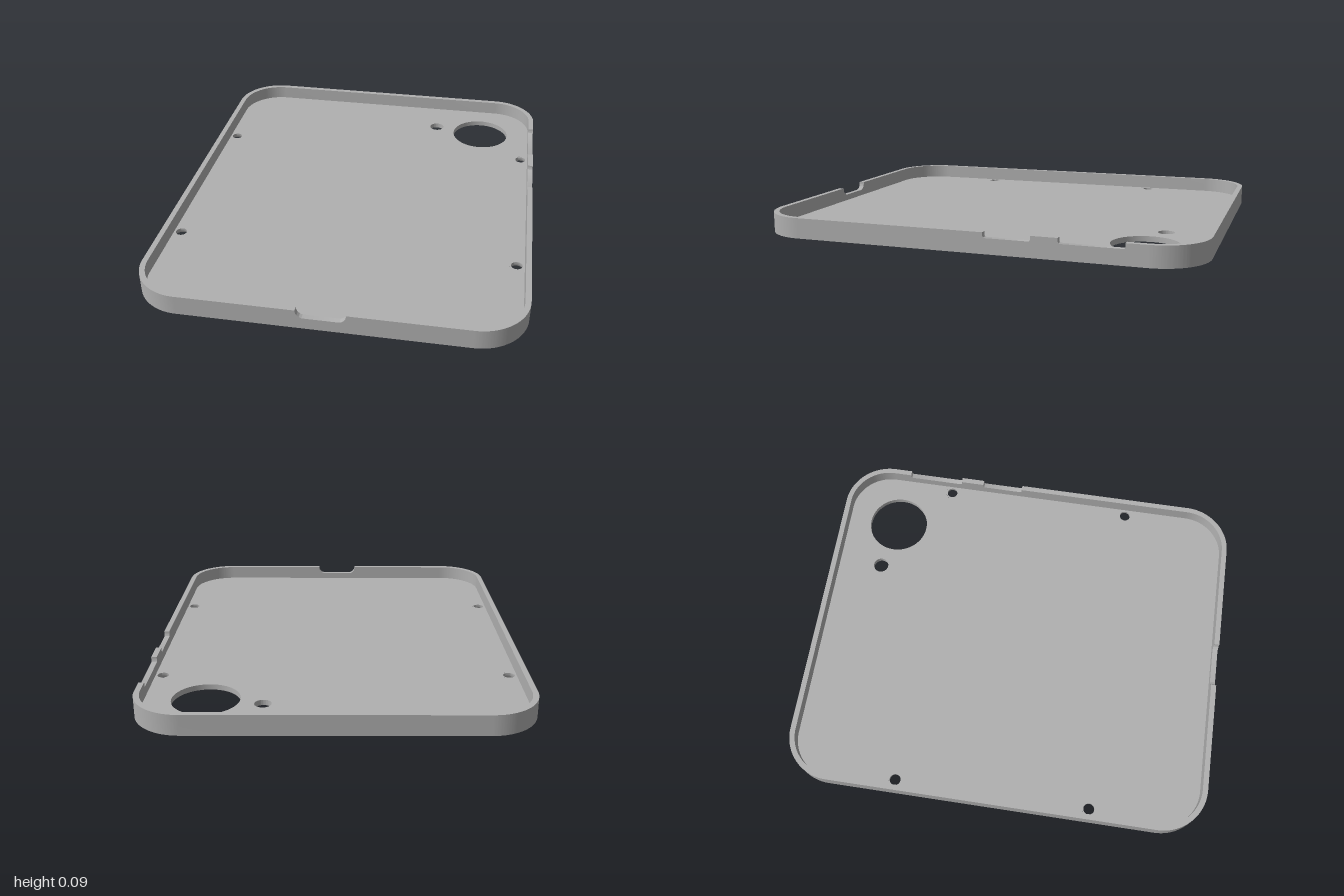
import * as THREE from 'three';
import { toCreasedNormals } from 'three/addons/utils/BufferGeometryUtils.js';

const W = 0.843, L = 1, H = 0.092;        // half width, half length, height
const WALL = 0.025, FLOOR = 0.025, R = 0.22;
const CX = W - R, CZ = L - R;             // corner arc centres
const Q = Math.PI / 2;

export function createModel() {
  const group = new THREE.Group();
  const grey = new THREE.MeshStandardMaterial({ color: 0xb0b0b0 });
  grey.name = 'grey plastic';

  const add = (name, geometry) => {
    const mesh = new THREE.Mesh(toCreasedNormals(geometry, 0.6), grey);
    mesh.name = name;
    group.add(mesh);
    return mesh;
  };
  const extrude = (shape, depth) =>
    new THREE.ExtrudeGeometry(shape, { depth, bevelEnabled: false, curveSegments: 32 });
  // Plan shapes use (x, -z) and are extruded upwards
  const raise = (shape, height) => extrude(shape, height).rotateX(-Q);

  // Floor with camera, flash and screw holes
  const r = R - WALL;
  const floor = new THREE.Shape();
  floor.absarc(CX, -CZ, r, -Q, 0);
  floor.absarc(CX, CZ, r, 0, Q);
  floor.absarc(-CX, CZ, r, Q, 2 * Q);
  floor.absarc(-CX, -CZ, r, 2 * Q, 3 * Q);
  floor.closePath();
  const screws = [];
  for (const x of [-0.783, 0.783]) for (const z of [-0.467, 0.463]) screws.push([x, z]);
  // The countersinks almost touch the wall, so their bores stay inside the floor
  const sink = 0.033, bore = 0.026;
  const holes = [[0.555, -0.715, 0.148], [0.308, -0.76, 0.037], ...screws.map(([x, z]) => [x, z, sink])];
  for (const [x, z, radius] of holes) {
    const hole = new THREE.Path();
    hole.absarc(x, -z, radius, 0, 4 * Q, true);
    floor.holes.push(hole);
  }
  add('floor', raise(floor, FLOOR));

  // Countersunk rings lining the screw holes
  const ring = [[sink, FLOOR], [bore, FLOOR], [bore, 0.012], [sink, 0]]
    .map(([x, y]) => new THREE.Vector2(x, y));
  for (const [x, z] of screws) {
    add('screwHole', new THREE.LatheGeometry(ring, 32)).position.set(x, 0, z);
  }

  // Curved wall between the two notched sides
  const corner = new THREE.Shape();
  corner.absarc(CX, -CZ, R, -Q, 0);
  corner.absarc(CX, -CZ, r, 0, -Q, true);
  corner.closePath();
  add('frontLeftCorner', raise(corner, H));

  // Plain wall around the back and the other side
  const around = new THREE.Shape();
  around.absarc(CX, CZ, R, 0, Q);
  around.absarc(-CX, CZ, R, Q, 2 * Q);
  around.absarc(-CX, -CZ, R, 2 * Q, 3 * Q);
  around.absarc(-CX, -CZ, r, 3 * Q, 2 * Q, true);
  around.absarc(-CX, CZ, r, 2 * Q, Q, true);
  around.absarc(CX, CZ, r, Q, 0, true);
  around.closePath();
  add('plainWall', raise(around, H));

  // Straight wall with round-cornered notches, listed from high to low
  const notchedWall = (half, notches, base, radius) => {
    const s = new THREE.Shape();
    s.moveTo(-half, 0);
    s.lineTo(half, 0);
    s.lineTo(half, H);
    for (const [a, b] of notches) {
      s.lineTo(b, H);
      s.lineTo(b, base + radius);
      s.absarc(b - radius, base + radius, radius, 0, -Q, true);
      s.lineTo(a + radius, base);
      s.absarc(a + radius, base + radius, radius, -Q, -2 * Q, true);
      s.lineTo(a, H);
    }
    s.lineTo(-half, H);
    s.closePath();
    return extrude(s, WALL);
  };
  add('frontWall', notchedWall(CX, [[-0.107, 0.105]], 0.054, 0.034))
    .position.z = L - WALL;
  add('buttonWall', notchedWall(CZ, [[0.418, 0.692], [0.097, 0.302]], 0.068, 0.01).rotateY(Q))
    .position.x = W - WALL;

  return group;
}
